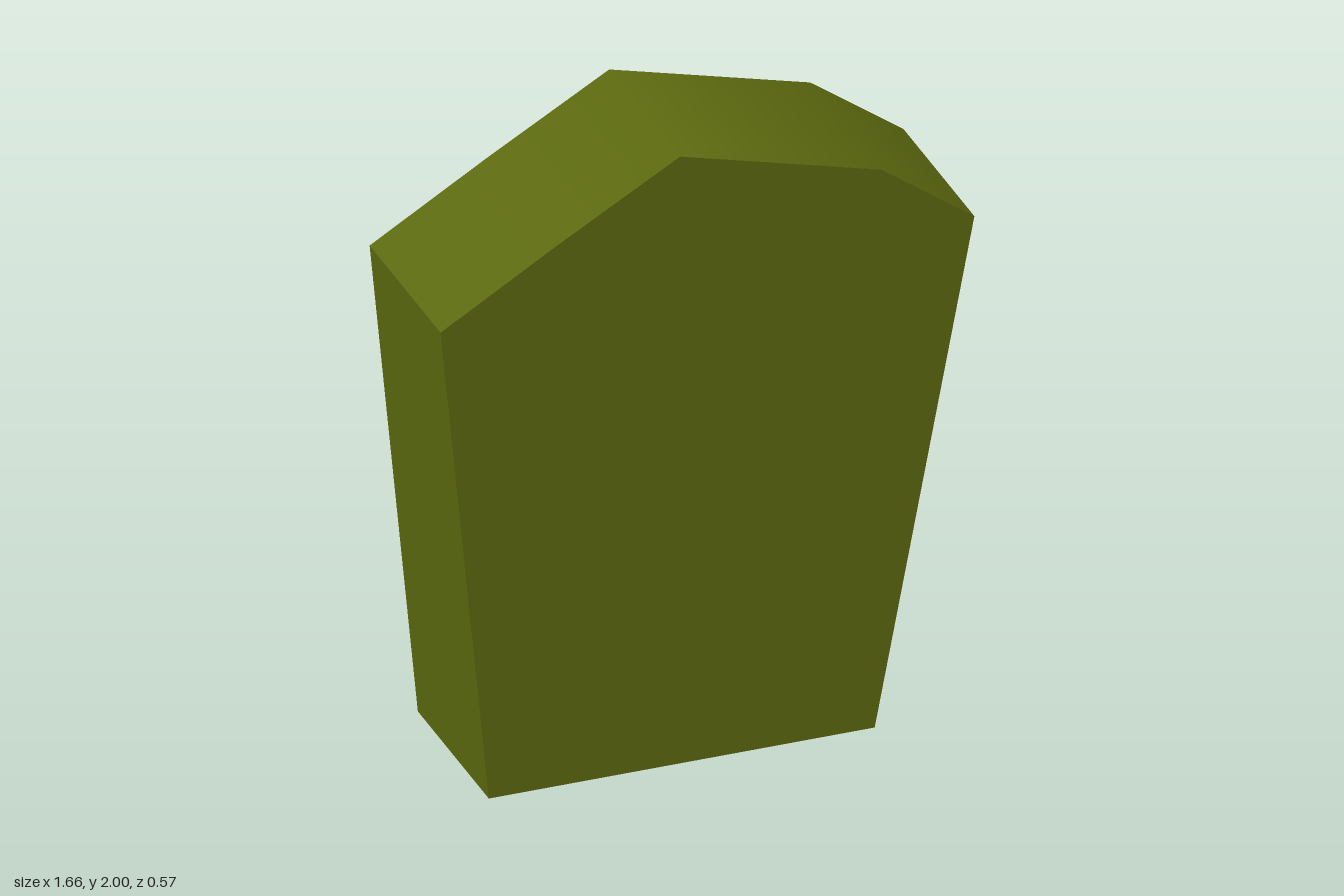
import * as THREE from 'three';

const HALF = 0.285;          // half of the cabinet depth
const PANEL = 0.045;         // thickness of the closed front panel

// outline: base corners, then the roof from left (+x) to right (-x)
const base = [[-0.68, 0], [0.52, 0]];
const roof = [[0.83, 1.625], [0.54, 1.835], [-0.085, 2], [-0.47, 1.78], [-0.83, 1.565]];
const opening = [[-0.625, 0.22], [0.465, 0.22], [0.763, 1.56], [0.512, 1.785], [-0.084, 1.925], [-0.758, 1.503]];

const toPoints = (list) => list.map(([x, y]) => new THREE.Vector2(x, y));

function slab(points, z0, z1, hole) {
  const shape = new THREE.Shape(toPoints(points));
  if (hole) shape.holes.push(new THREE.Path(toPoints(hole)));
  const geo = new THREE.ExtrudeGeometry(shape, { depth: z1 - z0, bevelEnabled: false });
  return geo.translate(0, 0, z0);
}

// average the normals along the roof so it shades as one soft surface
function softenRoof(geo) {
  const segment = roof.slice(1).map(([x, y], i) =>
    new THREE.Vector3(y - roof[i][1], roof[i][0] - x, 0).normalize());
  const soft = roof.map((_, i) => new THREE.Vector3()
    .add(segment[Math.max(i - 1, 0)])
    .add(segment[Math.min(i, segment.length - 1)])
    .normalize());
  const pos = geo.attributes.position, nor = geo.attributes.normal;
  for (let i = 0; i < pos.count; i++) {
    if (nor.getY(i) < 0.3 || pos.getY(i) < 1) continue;
    const k = roof.findIndex(([x]) => Math.abs(x - pos.getX(i)) < 1e-4);
    if (k >= 0) nor.setXYZ(i, soft[k].x, soft[k].y, 0);
  }
  return geo;
}

// thin board between two points, seen edge-on from the open side
function board(a, b, thickness) {
  const dir = new THREE.Vector2(b[0] - a[0], b[1] - a[1]).normalize();
  const nx = -dir.y * thickness / 2, ny = dir.x * thickness / 2;
  const points = [
    [a[0] - nx, a[1] - ny], [b[0] - nx, b[1] - ny],
    [b[0] + nx, b[1] + ny], [a[0] + nx, a[1] + ny],
  ];
  return slab(points, -HALF + 0.002, HALF - PANEL + 0.01);
}

export function createModel() {
  const group = new THREE.Group();
  const olive = new THREE.MeshStandardMaterial({ color: 0x5c690f });
  olive.name = 'olive';

  const add = (name, geo) => {
    const mesh = new THREE.Mesh(geo, olive);
    mesh.name = name;
    group.add(mesh);
  };

  // cabinet shell, open at the back, and its closed front
  const outline = [...base, ...roof];
  add('cabinetFrame', softenRoof(slab(outline, -HALF, HALF - PANEL, opening)));
  add('frontPanel', softenRoof(slab(outline, HALF - PANEL, HALF)));

  // crooked shelves, their ends let into the side walls
  const shelves = [
    [[-0.70, 0.69], [0.55, 0.52]],
    [[-0.74, 1.043], [0.67, 1.002]],
    [[-0.77, 1.288], [0.75, 1.39]],
  ];
  shelves.forEach(([a, b], i) => add(`shelf${i + 1}`, board(a, b, 0.02)));

  // upright divider from the plinth to the roof peak
  add('divider', board([-0.037, 0.2], [-0.085, 1.95], 0.02));

  return group;
}
